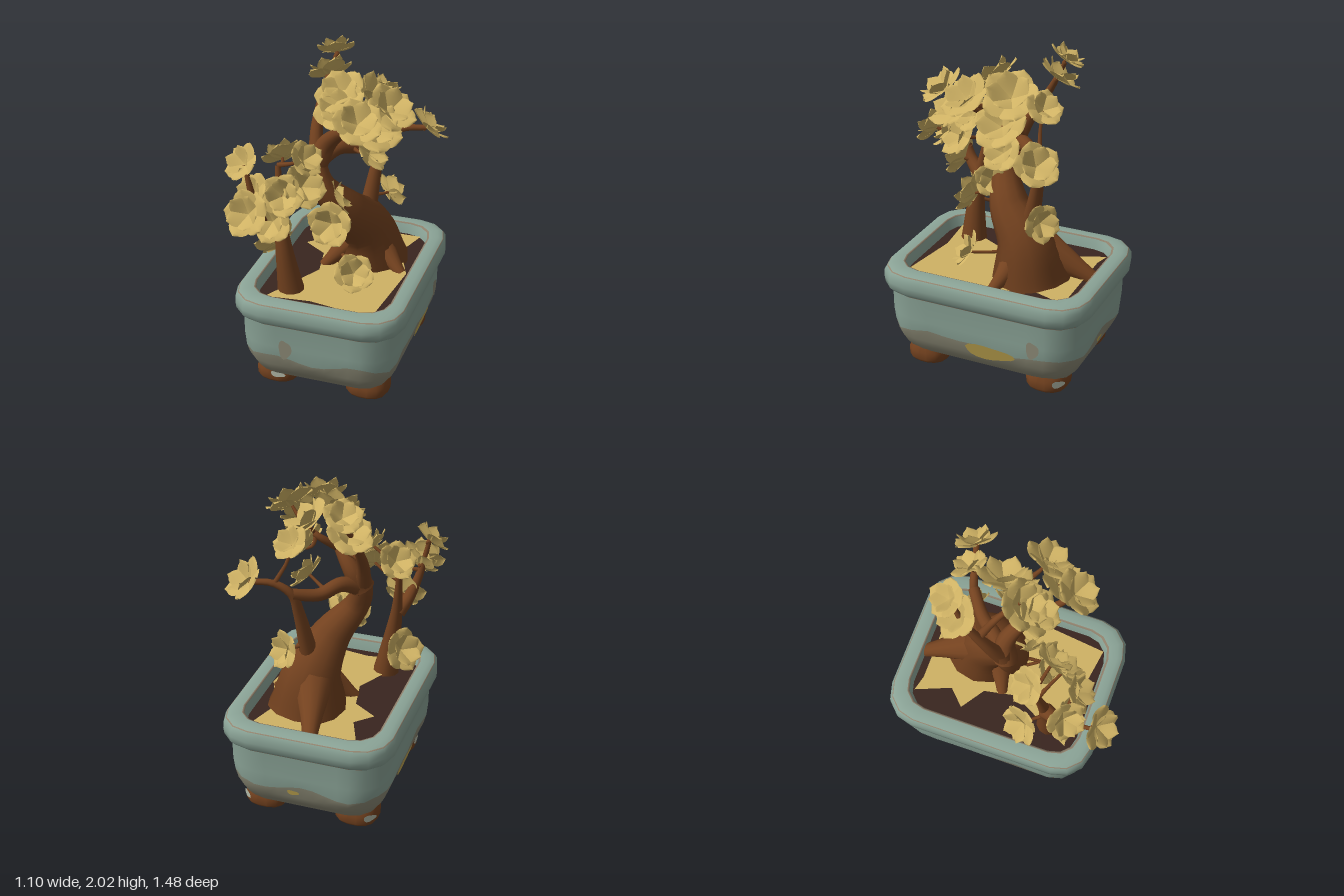
import * as THREE from 'three';
import { mergeGeometries } from 'three/addons/utils/BufferGeometryUtils.js';

const V = (x, y, z) => new THREE.Vector3(x, y, z);
const mat = (name, color, side = THREE.FrontSide) => {
  const m = new THREE.MeshStandardMaterial({ color, side });
  m.name = name;
  return m;
};

// Rounded rectangle outline with three-segment corners and subdivided sides
function outline(hx, hz, r) {
  const corners = [[1, 1], [-1, 1], [-1, -1], [1, -1]].map(([sx, sz], q) =>
    [0, 1, 2, 3].map(k => {
      const a = (q + k / 3) * Math.PI / 2;
      return [sx * (hx - r) + r * Math.cos(a), sz * (hz - r) + r * Math.sin(a)];
    }));
  const pts = [];
  corners.forEach((c, q) => {
    const a = c[3], b = corners[(q + 1) % 4][0];
    pts.push(...c);
    for (let k = 1; k < 8; k++) pts.push([a[0] + (b[0] - a[0]) * k / 8, a[1] + (b[1] - a[1]) * k / 8]);
  });
  return pts;
}

// Skin stacked outlines; each ring is [y, inset, material index of the row above, wave]
function loft(rings, hx, hz, r) {
  const pos = [], idx = [], g = new THREE.BufferGeometry();
  let n = 0;
  rings.forEach(([y, inset, m = 0, wave = 0], i) => {
    const w = Math.max(hx - inset, 0.00001), d = Math.max(hz - inset, 0.00001);
    const pts = outline(w, d, Math.min(w, d, Math.max(r - inset * 0.5, 0.02)));
    n = pts.length;
    pts.forEach(([x, z]) => pos.push(x, y + wave * (Math.sin(x * 13 + z * 7) + 0.6 * Math.sin(z * 17 - x * 9)), z));
    if (i === rings.length - 1) return;
    g.addGroup(idx.length, n * 6, m);
    for (let j = 0; j < n; j++) {
      const a = i * n + j, b = i * n + (j + 1) % n;
      idx.push(a, a + n, b, b, a + n, b + n);
    }
  });
  g.setAttribute('position', new THREE.Float32BufferAttribute(pos, 3));
  g.setIndex(idx);
  g.computeVertexNormals();
  return g;
}

// Limb along a smooth curve, tapering from radius r0 to r1
function limb(points, r0, r1, segs, sides) {
  const curve = new THREE.CatmullRomCurve3(points);
  const g = new THREE.TubeGeometry(curve, segs, 1, sides);
  const p = g.attributes.position, v = V(0, 0, 0), samples = [];
  for (let i = 0; i <= segs; i++) {
    const c = curve.getPointAt(i / segs), r = r1 + (r0 - r1) * Math.pow(1 - i / segs, 1.5);
    samples.push(c);
    for (let j = 0; j <= sides; j++) {
      const q = i * (sides + 1) + j;
      v.fromBufferAttribute(p, q).sub(c).multiplyScalar(r).add(c);
      p.setXYZ(q, v.x, v.y, v.z);
    }
  }
  return { g, samples };
}

// Broad round petal growing along +x, rising and gently domed
function petal(size, lift) {
  const g = new THREE.PlaneGeometry(1, 2, 8, 4), p = g.attributes.position;
  for (let i = 0; i < p.count; i++) {
    const u = p.getX(i) + 0.5, v = p.getY(i);
    const w = 0.072 * Math.pow(Math.sin(Math.PI * (0.03 + 0.965 * Math.pow(u, 1.35))), 0.6);
    const y = lift * Math.pow(u, 1.2) - 0.014 * v * v * u;
    p.setXYZ(i, size * u * 0.14, size * y, -size * w * v);
  }
  g.computeVertexNormals();
  return g;
}

// Five open petals with five steeper ones inside
function blossom() {
  const parts = [];
  for (let k = 0; k < 5; k++) {
    const a = k * Math.PI * 0.4;
    parts.push(petal(1, 0.045 + 0.02 * (k % 2)).rotateY(a), petal(0.72, 0.13).rotateY(a + 0.63));
  }
  return mergeGeometries(parts);
}

export function createModel() {
  const model = new THREE.Group();
  const glaze = mat('glaze', 0x8ba497), clay = mat('clay band', 0x8a8874), trim = mat('tan trim', 0x948570);
  const bark = mat('bark', 0x74421f), soil = mat('soil', 0x39251f);
  const petals = mat('petal yellow', 0xcfb264, THREE.DoubleSide);
  const ochre = mat('ochre stain', 0xc0a650), pale = mat('pale chip', 0xb0b7a5);
  const add = (name, g, m, parent = model) => {
    const mesh = new THREE.Mesh(g, m);
    mesh.name = name;
    parent.add(mesh);
    return mesh;
  };

  // Pot: underside, bowl, rim, inner wall and soil in one skin
  const pot = new THREE.Group();
  pot.name = 'pot';
  pot.position.set(0.015, 0, -0.075);
  model.add(pot);
  add('bowl', loft([
    [0.092, 0.535, 1], [0.092, 0.125, 1], [0.092, 0.125, 2], [0.135, 0.095, 2], [0.19, 0.068, 2], [0.255, 0.053, 0, 0.016],
    [0.34, 0.045], [0.488, 0.043, 3], [0.5, 0.03], [0.53, 0.004], [0.57, 0], [0.61, 0.002],
    [0.635, 0.015, 3], [0.64, 0.02], [0.652, 0.05], [0.652, 0.1, 3], [0.647, 0.112],
    [0.58, 0.125], [0.58, 0.125, 4], [0.59, 0.535]
  ], 0.535, 0.675, 0.21), [glaze, bark, clay, trim, soil], pot);

  // Feet with worn chips, and stains on the walls
  const patch = (name, m, x, y, z, w, h, turn, tilt = 0) => {
    const s = new THREE.Shape();
    for (let k = 0; k < 18; k++) {
      const a = k * Math.PI / 9, r = 1 + 0.12 * Math.sin(3 * a + 1) + 0.08 * Math.cos(2 * a);
      s[k ? 'lineTo' : 'moveTo'](w * r * Math.cos(a), h * r * Math.sin(a));
    }
    const mesh = add(name, new THREE.ShapeGeometry(s), m, pot);
    mesh.position.set(x, y, z);
    mesh.rotation.set(tilt, turn, 0, 'YXZ');
  };
  const foot = loft([[0, 0.135], [0, 0.015], [0, 0.015], [0.02, 0.002], [0.07, 0], [0.11, 0.015]], 0.135, 0.13, 0.1);
  for (const sx of [-1, 1]) {
    for (const sz of [-1, 1]) add('foot', foot, bark, pot).position.set(sx * 0.29, 0, sz * 0.4);
    patch('footChip', pale, sx * 0.395, 0.065, -0.501, 0.04, 0.025, sx * Math.PI * 0.75);
    patch('sideStain', ochre, sx * 0.484, 0.226, -0.08, 0.15, 0.057, sx * Math.PI / 2, 0.25);
  }
  patch('footChip', pale, -0.26, 0.065, 0.533, 0.045, 0.022, 0);
  patch('footChip', pale, -0.428, 0.065, 0.4, 0.045, 0.022, -Math.PI / 2);
  patch('backStain', ochre, 0.05, 0.235, -0.624, 0.035, 0.02, Math.PI, 0.2);
  patch('frontSmudge', clay, -0.17, 0.33, 0.634, 0.038, 0.07, 0);
  patch('sideSmudge', clay, 0.494, 0.32, -0.37, 0.038, 0.06, Math.PI / 2);

  // Fallen petals: jagged sheet over the soil
  const litter = new THREE.Shape([[-0.3, -0.6], [-0.2, -0.575], [0.37, -0.58], [0.3, -0.36], [0.41, -0.1],
    [0.35, 0.45], [-0.05, 0.39], [-0.33, 0.42], [-0.12, 0.02], [-0.16, -0.18], [-0.31, -0.28], [-0.21, -0.38]
  ].map(([x, z]) => new THREE.Vector2(x, -z)));
  add('fallenPetals', new THREE.ShapeGeometry(litter).rotateX(-Math.PI / 2), petals).position.y = 0.598;

  // Main tree: trunk, roots and branches
  const samples = [];
  const grow = (name, r0, r1, ...points) => {
    const l = limb(points, r0, r1, 22, 12);
    add(name, l.g, bark);
    samples.push(...l.samples);
  };
  const fork = V(-0.15, 1.32, -0.03), elbow = V(0, 1.54, 0.01), knee = V(0.18, 1.38, -0.35), heart = V(0.1, 0.82, -0.22);
  grow('mainTrunk', 0.25, 0.055, V(0.12, 0.57, -0.27), heart, V(0.03, 1, -0.08), V(-0.1, 1.18, 0), fork, V(-0.15, 1.42, -0.06));
  grow('backRoot', 0.17, 0.045, heart, V(0.03, 0.7, -0.44), V(-0.02, 0.58, -0.63));
  grow('sideRoot', 0.15, 0.035, heart, V(0.25, 0.69, -0.18), V(0.37, 0.58, -0.12));
  grow('frontRoot', 0.13, 0.035, heart, V(-0.02, 0.69, -0.12), V(-0.12, 0.58, -0.07));
  grow('frontBranch', 0.075, 0.02, fork, V(-0.09, 1.44, -0.05), elbow, V(0.18, 1.69, 0.23));
  grow('crownBranch', 0.055, 0.014, fork, V(-0.18, 1.52, -0.13), V(-0.175, 1.7, -0.25), V(-0.13, 1.9, -0.36));
  grow('crossTwig', 0.028, 0.012, V(-0.17, 1.6, -0.18), V(-0.05, 1.63, -0.12), V(0.02, 1.82, 0));
  grow('rightTwig', 0.03, 0.015, elbow, V(0.12, 1.64, -0.07), V(0.25, 1.7, 0));
  grow('backBranch', 0.065, 0.018, V(0.1, 0.85, -0.24), V(0.15, 1.25, -0.32), knee, V(0.28, 1.45, -0.38), V(0.42, 1.46, -0.42));
  grow('linkBranch', 0.055, 0.034, fork, V(-0.05, 1.38, -0.14), V(0.05, 1.35, -0.25), knee);

  // Small tree in the front corner
  grow('smallTrunk', 0.085, 0.018, V(-0.21, 0.57, 0.28), V(-0.25, 0.85, 0.28), V(-0.28, 1.05, 0.26), V(-0.31, 1.38, 0.2));
  grow('smallBranch', 0.05, 0.014, V(-0.28, 1.02, 0.27), V(-0.33, 1.1, 0.36), V(-0.38, 1.25, 0.42), V(-0.43, 1.47, 0.42));
  grow('lowBranch', 0.03, 0.012, V(-0.35, 1.14, 0.37), V(-0.36, 1.24, 0.58));

  // Blossoms face away from their tree's axis, each on a twig from the nearest limb
  const flower = blossom();
  const bloom = (cx, cz, spots) => spots.forEach(([x, y, z], i) => {
    const p = V(x, y, z), dir = V(x - cx, 0, z - cz).normalize();
    dir.y = 0.25 + 1.25 * Math.abs(y - 1);
    dir.normalize();
    const from = samples.reduce((a, b) => (b.distanceTo(p) < a.distanceTo(p) ? b : a));
    const mid = from.clone().lerp(p, 0.6).addScaledVector(dir, -0.02);
    add('twig', limb([from, mid, p], 0.016, 0.009, 6, 6).g, bark);
    const f = add('blossom', flower, petals);
    f.position.copy(p);
    f.scale.setScalar((y > 1.5 && z > -0.2 ? 1.15 : 0.92) + 0.1 * Math.sin(i * 2.3 - 1));
    f.quaternion.setFromUnitVectors(V(0, 1, 0), dir);
    f.rotateY(i * 1.7);
  });
  bloom(0.03, -0.12, [
    [-0.13, 1.91, -0.36], [-0.15, 1.78, -0.3], [0.02, 1.79, 0], [0.32, 1.75, 0.05], [0.14, 1.73, -0.14],
    [0.2, 1.74, 0.26], [0.26, 1.66, 0.14], [0.18, 1.56, -0.1], [0.03, 1.72, 0.08], [0.42, 1.46, -0.42],
    [0.16, 1.39, -0.1], [0.17, 1.7, -0.35], [0.01, 1.02, 0.16], [0.21, 1.01, -0.36], [0.14, 0.68, 0.13]
  ]);
  bloom(-0.26, 0.2, [
    [-0.13, 1.46, 0.25], [-0.12, 1.32, 0.31], [-0.43, 1.47, 0.42], [-0.29, 1.42, 0.17], [-0.34, 1.25, 0.6],
    [-0.37, 1.3, 0.42], [-0.2, 1.3, 0.42], [-0.28, 1.1, 0.38], [0, 1.13, 0.05], [-0.34, 0.83, 0.15]
  ]);
  return model;
}
